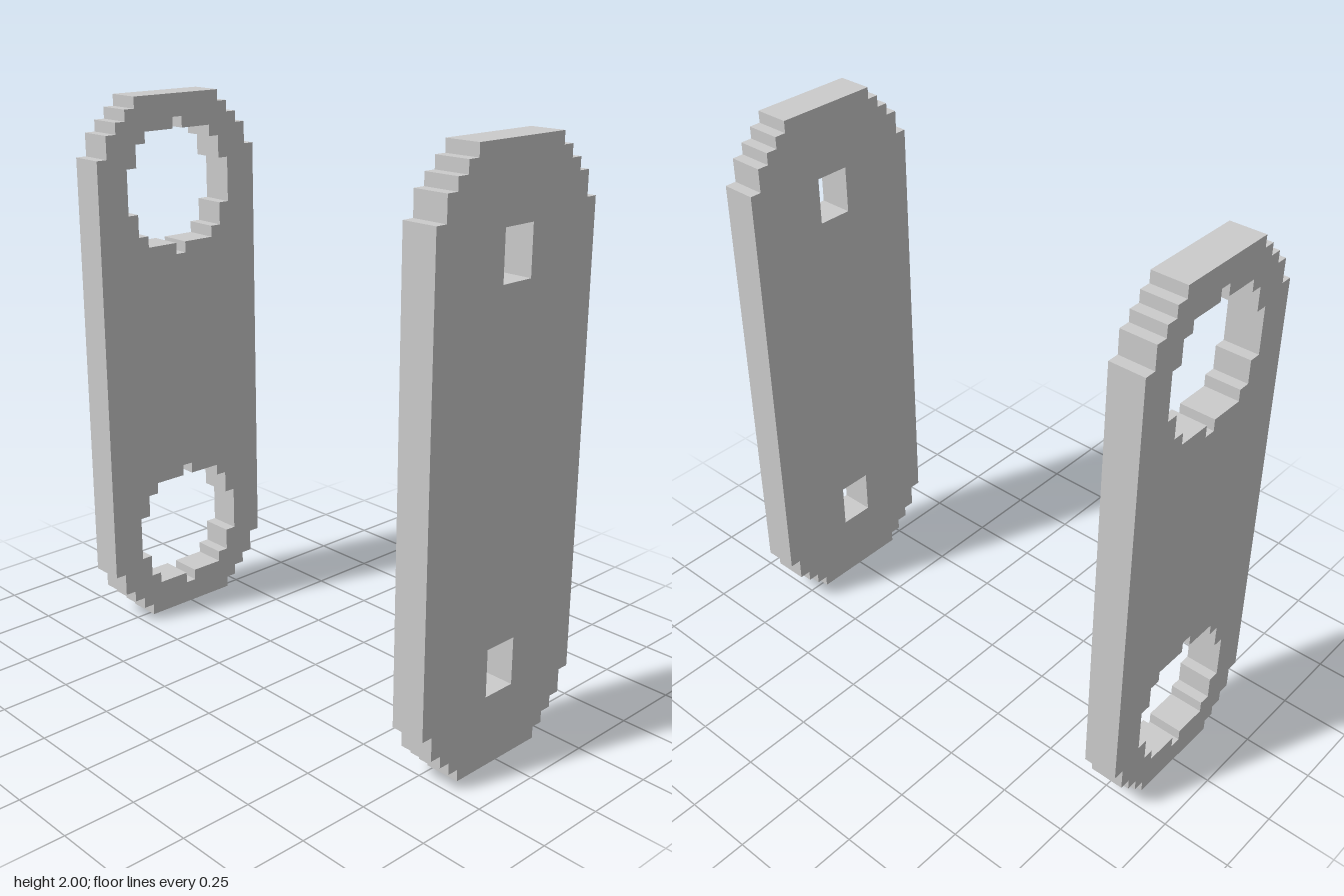
import * as THREE from 'three';

const U = 2 / 48; // one block unit

// Half widths of successive block rows, in units
const END_ROWS = [4.5, 5.5, 6.5, 7.5, 7.5]; // stepped plate end, from the tip inwards
const HOLE_ROWS = [0.5, 3.5, 4.5, 4.5, 5.5, 5.5]; // stepped round hole, from its bottom to its middle

// Closed stepped outline, mirrored across both axes, centred at height cy
function steppedPoints(rows, cy) {
  const h = rows.length;
  const quarter = []; // lower right quarter, bottom to middle
  rows.forEach((w, i) => {
    if (i && rows[i - 1] === w) return;
    if (i) quarter.push([rows[i - 1], i - h]);
    quarter.push([w, i - h]);
  });
  const right = [...quarter, ...quarter.map(([x, y]) => [x, -y]).reverse()];
  const left = right.map(([x, y]) => [-x, y]).reverse();
  return [...right, ...left].map(([x, y]) => new THREE.Vector2(x * U, (y + cy) * U));
}

// Stepped plate, three units thick, with a hole near each end
function plate(name, x, holeRows, material) {
  const body = [...END_ROWS, ...Array(19).fill(8.5)];
  const shape = new THREE.Shape(steppedPoints(body, 24));
  for (const cy of [8, 40]) shape.holes.push(new THREE.Path(steppedPoints(holeRows, cy)));
  const geometry = new THREE.ExtrudeGeometry(shape, { depth: 3 * U, bevelEnabled: false });
  geometry.translate(0, 0, -1.5 * U);
  geometry.rotateY(Math.PI / 2);
  const mesh = new THREE.Mesh(geometry, material);
  mesh.name = name;
  mesh.position.x = x * U;
  return mesh;
}

export function createModel() {
  const group = new THREE.Group();
  group.name = 'sidePlates';
  const material = new THREE.MeshStandardMaterial({ color: 0xcccccc, flatShading: true });
  // Left plate with small rectangular slots, right plate with large round holes
  group.add(plate('slottedPlate', 19, [1.5, 1.5], material));
  group.add(plate('roundHolePlate', -19, HOLE_ROWS, material));
  return group;
}
